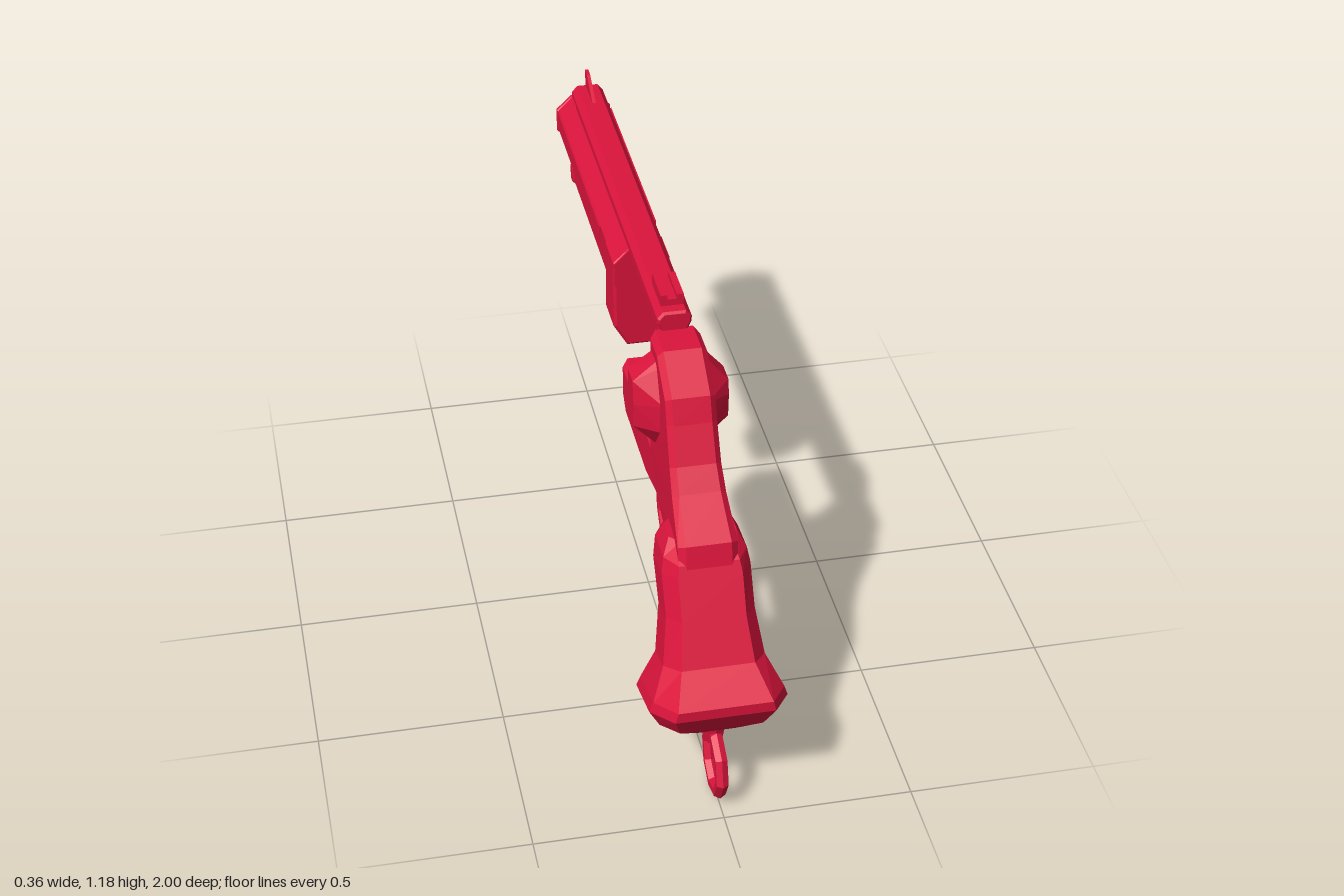
import * as THREE from 'three';
import { ConvexGeometry } from 'three/addons/geometries/ConvexGeometry.js';

const material = new THREE.MeshStandardMaterial({ color: 0xdc143c, flatShading: true });

export function createModel() {
  const group = new THREE.Group();
  const add = (name, geometry) => {
    const mesh = new THREE.Mesh(geometry, material);
    mesh.name = name;
    group.add(mesh);
    return mesh;
  };
  const toShape = pts => new THREE.Shape(pts.map(p => new THREE.Vector2(p[0], p[1])));
  const extrude = (shape, depth, bevel) => new THREE.ExtrudeGeometry(shape, {
    depth: depth - 2 * bevel, bevelEnabled: bevel > 0, bevelThickness: bevel,
    bevelSize: bevel, bevelOffset: -bevel, bevelSegments: 1, curveSegments: 8,
  }).translate(0, 0, bevel);
  // side profile given as [z, y], thickened across x
  const sidePlate = (pts, half, bevel) =>
    extrude(toShape(pts), half * 2, bevel).translate(0, 0, -half).rotateY(-Math.PI / 2);
  // cross-section given as the +x half [x, y] from top to bottom, run from z0 to z1
  const bar = (halfPts, z0, z1, bevel = 0, hole = null) => {
    const shape = toShape([...halfPts, ...halfPts.map(([x, y]) => [-x, y]).reverse()]);
    if (hole) shape.holes.push(new THREE.Path().absarc(0, hole.y, hole.r, 0, Math.PI * 2, true));
    return extrude(shape, z1 - z0, bevel).translate(0, 0, z0);
  };
  const octagon = (y, rx, ry, k = 0.42) =>
    [[rx * k, y + ry], [rx, y + ry * k], [rx, y - ry * k], [rx * k, y - ry]];

  // Frame, open at the front of its window, widening toward the grip
  const frame = sidePlate([
    [0.335, 1.088], [0.44, 1.088], [0.55, 1.015], [0.575, 0.95], [0.62, 0.855], [0.665, 0.80],
    [0.775, 0.72], [0.79, 0.66], [0.70, 0.58], [0.56, 0.605], [0.43, 0.63], [0.34, 0.61],
    [0.29, 0.60], [0, 0.60], [-0.05, 0.645], [-0.05, 0.75], [0.335, 0.75],
  ], 0.065, 0.016);
  const fp = frame.attributes.position;
  for (let i = 0; i < fp.count; i++)
    fp.setX(i, fp.getX(i) * (1 + 0.2 * THREE.MathUtils.smoothstep(fp.getZ(i), 0.55, 0.8)));
  frame.computeVertexNormals();
  add('frame', frame);

  // Recoil shields, one on each side
  const shieldBase = [[0.345, 1.03], [0.36, 1.05], [0.42, 1.055], [0.44, 1.04], [0.49, 0.95],
    [0.49, 0.87], [0.42, 0.785], [0.36, 0.77], [0.345, 0.79]];
  for (const side of [1, -1]) {
    const top = side > 0 ? 0.97 : 0.995;
    const face = [[0.358, top], [0.42, top], [0.43, 0.93], [0.425, 0.86], [0.358, 0.85]];
    add(side > 0 ? 'leftRecoilShield' : 'rightRecoilShield', new ConvexGeometry([
      ...shieldBase.map(([z, y]) => new THREE.Vector3(side * 0.055, y, z)),
      ...face.map(([z, y]) => new THREE.Vector3(side * 0.125, y, z)),
    ]));
  }

  // Top rail
  add('topRail', bar([[0.03, 1.14], [0.045, 1.122], [0.045, 1.108], [0.035, 1.085], [0.035, 1.068]],
    -0.92, 0.345, 0.006));

  // Barrel with bore, muzzle ring, side ribs and rear lug
  const bore = { y: 0.995, r: 0.047 };
  add('barrel', bar(octagon(0.995, 0.075, 0.075, 0.45), -0.985, -0.09, 0, bore));
  add('muzzleRing', bar(octagon(0.995, 0.08, 0.075, 0.45), -1, -0.975, 0.008, bore));
  for (const side of [1, -1])
    add('barrelRib', new THREE.BoxGeometry(0.012, 0.05, 0.67).translate(side * 0.074, 1.005, -0.63));
  add('barrelLug', bar([[0.035, 1.07], [0.078, 1.03], [0.078, 0.83], [0.04, 0.765]], -0.215, -0.09, 0.008));

  // Ejector rod below the barrel
  add('ejectorRod', bar(octagon(0.858, 0.047, 0.047), -0.89, -0.2));
  add('ejectorTip', bar(octagon(0.858, 0.053, 0.053), -0.93, -0.88, 0.012, { y: 0.858, r: 0.02 }));
  add('ejectorCore', bar(octagon(0.858, 0.025, 0.025), -0.915, -0.88));

  // Sights
  add('frontSight', sidePlate([[-0.79, 1.135], [-0.89, 1.185], [-0.92, 1.187], [-0.915, 1.135]], 0.005, 0));
  add('rearSightBase', new THREE.BoxGeometry(0.06, 0.02, 0.11).translate(0, 1.148, 0.255));
  for (const side of [1, -1])
    add('rearSightBlade', new THREE.BoxGeometry(0.018, 0.02, 0.11).translate(side * 0.021, 1.161, 0.255));

  // Grip lofted from eight-sided sections: [back z, back y, front z, front y, half width]
  const sections = [
    [0.73, 0.705, 0.61, 0.70, 0.088], [0.785, 0.67, 0.575, 0.655, 0.108],
    [0.80, 0.64, 0.585, 0.59, 0.115], [0.85, 0.54, 0.66, 0.49, 0.115],
    [0.905, 0.43, 0.70, 0.365, 0.132], [1.0, 0.375, 0.665, 0.275, 0.17],
    [1.0, 0.345, 0.655, 0.24, 0.18], [0.955, 0.27, 0.72, 0.215, 0.15],
    [0.895, 0.21, 0.80, 0.188, 0.07],
  ];
  const ring = [[1, 0.72], [0.5, 1], [-0.5, 1], [-1, 0.72], [-1, -0.72], [-0.5, -1], [0.5, -1], [1, -0.72]];
  const verts = [], index = [], n = ring.length;
  sections.forEach(([bz, by, fz, fy, w], s) => {
    for (const [t, x] of ring)
      verts.push(x * w, (by + fy + t * (by - fy)) / 2, (bz + fz + t * (bz - fz)) / 2);
    if (s === 0) return;
    for (let i = 0; i < n; i++) {
      const a = (s - 1) * n + i, b = (s - 1) * n + (i + 1) % n;
      index.push(a, a + n, b, b, a + n, b + n);
    }
  });
  const last = (sections.length - 1) * n;
  for (let i = 1; i < n - 1; i++) index.push(0, i, i + 1, last, last + i + 1, last + i);
  const grip = new THREE.BufferGeometry();
  grip.setAttribute('position', new THREE.Float32BufferAttribute(verts, 3));
  grip.setIndex(index);
  grip.computeVertexNormals();
  add('grip', grip);

  // Hooked trigger guard
  add('triggerGuard', sidePlate([
    [0.27, 0.61], [0.25, 0.545], [0.268, 0.475], [0.33, 0.407], [0.46, 0.396], [0.497, 0.348],
    [0.497, 0.305], [0.465, 0.268], [0.42, 0.265], [0.445, 0.23], [0.50, 0.235], [0.535, 0.28],
    [0.547, 0.358], [0.513, 0.435], [0.435, 0.44], [0.355, 0.447], [0.31, 0.49], [0.30, 0.55], [0.345, 0.615],
  ], 0.032, 0.012));

  // Lanyard stud and ring
  add('lanyardStud', new THREE.CylinderGeometry(0.035, 0.025, 0.06, 8).translate(0, 0.185, 0.86));
  add('lanyardRing', new THREE.TorusGeometry(0.082, 0.018, 6, 8)
    .rotateZ(0.1).rotateY(Math.PI / 2).translate(0, 0.102, 0.888));

  return group;
}
